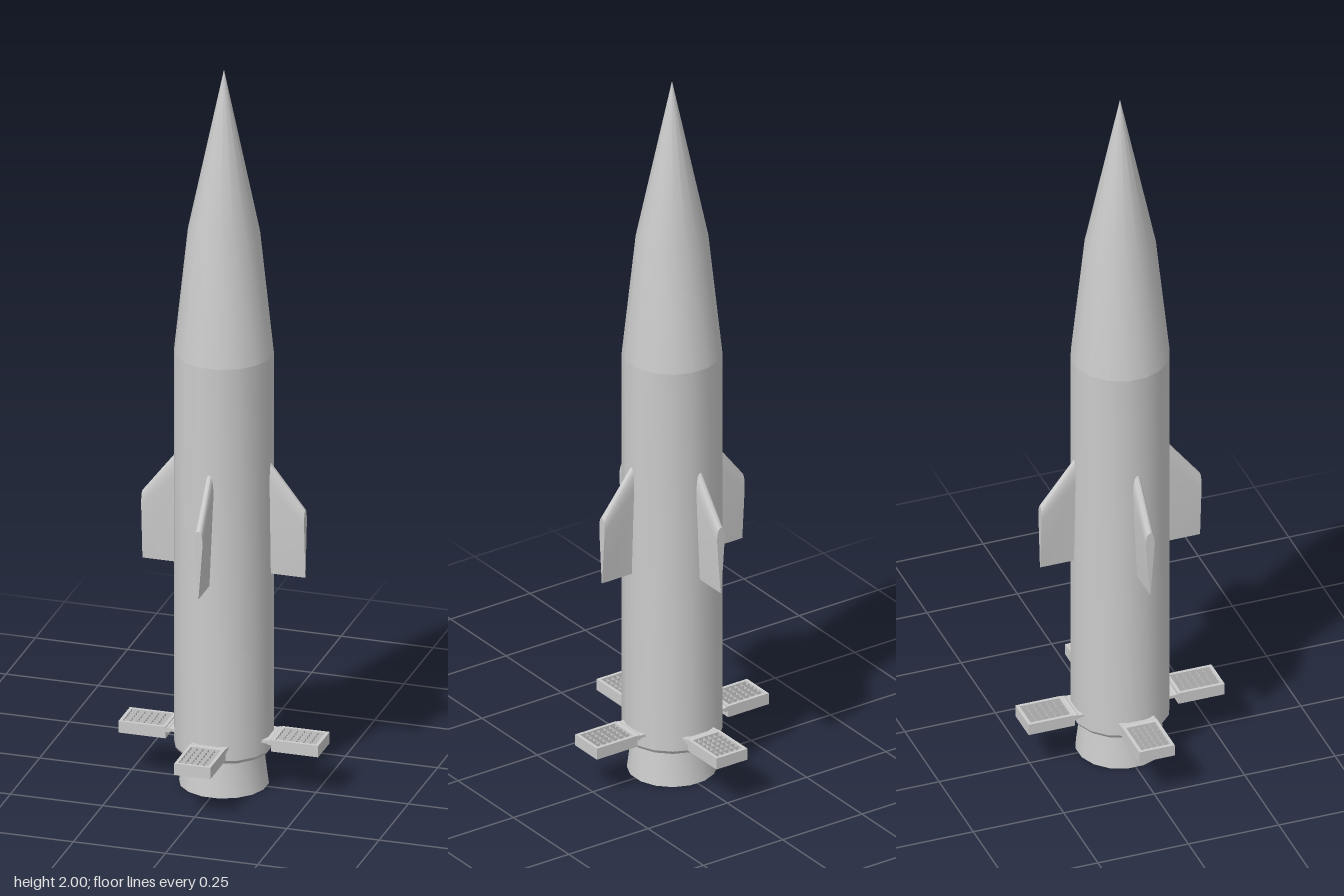
import * as THREE from 'three';
import { toCreasedNormals } from 'three/addons/utils/BufferGeometryUtils.js';

const SIDES = 16;
const grey = new THREE.MeshStandardMaterial({ color: 0xcccccc });
const greyThin = new THREE.MeshStandardMaterial({ color: 0xcccccc, side: THREE.DoubleSide });

function add(parent, name, geometry, material = grey) {
  const mesh = new THREE.Mesh(geometry, material);
  mesh.name = name;
  parent.add(mesh);
  return mesh;
}

// Turned part whose flat facets face the four axes
function turned(profile) {
  const points = profile.map(([r, y]) => new THREE.Vector2(r, y));
  const geometry = new THREE.LatheGeometry(points, SIDES, Math.PI / SIDES);
  return toCreasedNormals(geometry, 0.5);
}

function box(parent, name, size, position) {
  add(parent, name, new THREE.BoxGeometry(...size)).position.set(...position);
}

// Wing pointing to +z: rounded leading edge, thin trailing edge, swept top
function wingGeometry() {
  const h = 0.012;
  const section = new THREE.Shape();
  section.moveTo(-0.001, 0);
  section.lineTo(0.001, 0);
  section.lineTo(h, 0.8);
  section.quadraticCurveTo(h, 1, 0, 1);
  section.quadraticCurveTo(-h, 1, -h, 0.8);
  section.lineTo(-0.001, 0);
  const geometry = new THREE.ExtrudeGeometry(section, { depth: 1, bevelEnabled: false, curveSegments: 5 });
  const p = geometry.attributes.position;
  const rootZ = 0.115, tipZ = 0.221;
  for (let i = 0; i < p.count; i++) {
    const t = p.getZ(i);
    const z = THREE.MathUtils.lerp(rootZ, tipZ, t);
    const chord = 0.31 - 0.12 * (z - 0.128) / (tipZ - 0.128);
    p.setXYZ(i, p.getX(i), 0.6 + p.getY(i) * chord, z);
  }
  return toCreasedNormals(geometry, 0.6);
}

// Lattice control fin pointing to +z
function gridFin() {
  const fin = new THREE.Group();
  fin.name = 'gridFin';
  const y = 0.137, height = 0.032, wall = 0.009;
  const halfWidth = 0.049, inner = 0.143, outer = 0.271;
  const length = outer - inner, midZ = (inner + outer) / 2;

  // Frame
  for (const s of [-1, 1]) {
    box(fin, 'frameSide', [wall, height, length], [s * (halfWidth - wall / 2), y, midZ]);
  }
  box(fin, 'frameTip', [halfWidth * 2, height, wall], [0, y, outer - wall / 2]);
  box(fin, 'frameRoot', [halfWidth * 2, height, wall], [0, y, inner + wall / 2]);

  // Thin lattice blades
  const across = 5, along = 6;
  const w = 2 * (halfWidth - wall), l = length - 2 * wall;
  for (let i = 1; i < across; i++) {
    const blade = add(fin, 'longBlade', new THREE.PlaneGeometry(l, height * 0.9), greyThin);
    blade.rotation.y = Math.PI / 2;
    blade.position.set(-w / 2 + w * i / across, y, midZ);
  }
  for (let i = 1; i < along; i++) {
    const blade = add(fin, 'crossBlade', new THREE.PlaneGeometry(w, height * 0.9), greyThin);
    blade.position.set(0, y, midZ - l / 2 + l * i / along);
  }

  // Hinge joining the fin to the body
  const hinge = add(fin, 'hinge', new THREE.CylinderGeometry(0.007, 0.007, halfWidth * 2, 12));
  hinge.rotation.z = Math.PI / 2;
  hinge.position.set(0, 0.145, 0.138);
  box(fin, 'hingePlate', [halfWidth * 2, 0.008, 0.034], [0, 0.146, 0.13]);
  return fin;
}

export function createModel() {
  const model = new THREE.Group();
  model.name = 'rocket';

  add(model, 'body', turned([[0, 0.1], [0.123, 0.1], [0.13, 0.11], [0.13, 1.21]]));
  add(model, 'noseCone', turned([[0.13, 1.21], [0.094, 1.55], [0, 2]]));
  add(model, 'nozzle', turned([[0.117, 0], [0.104, 0.102]]), greyThin);

  // Four wings and four lattice fins around the body
  const wing = wingGeometry();
  for (let i = 0; i < 4; i++) {
    const quarter = new THREE.Group();
    quarter.name = 'finSet';
    add(quarter, 'wing', wing);
    quarter.add(gridFin());
    quarter.rotation.y = i * Math.PI / 2;
    model.add(quarter);
  }
  return model;
}
